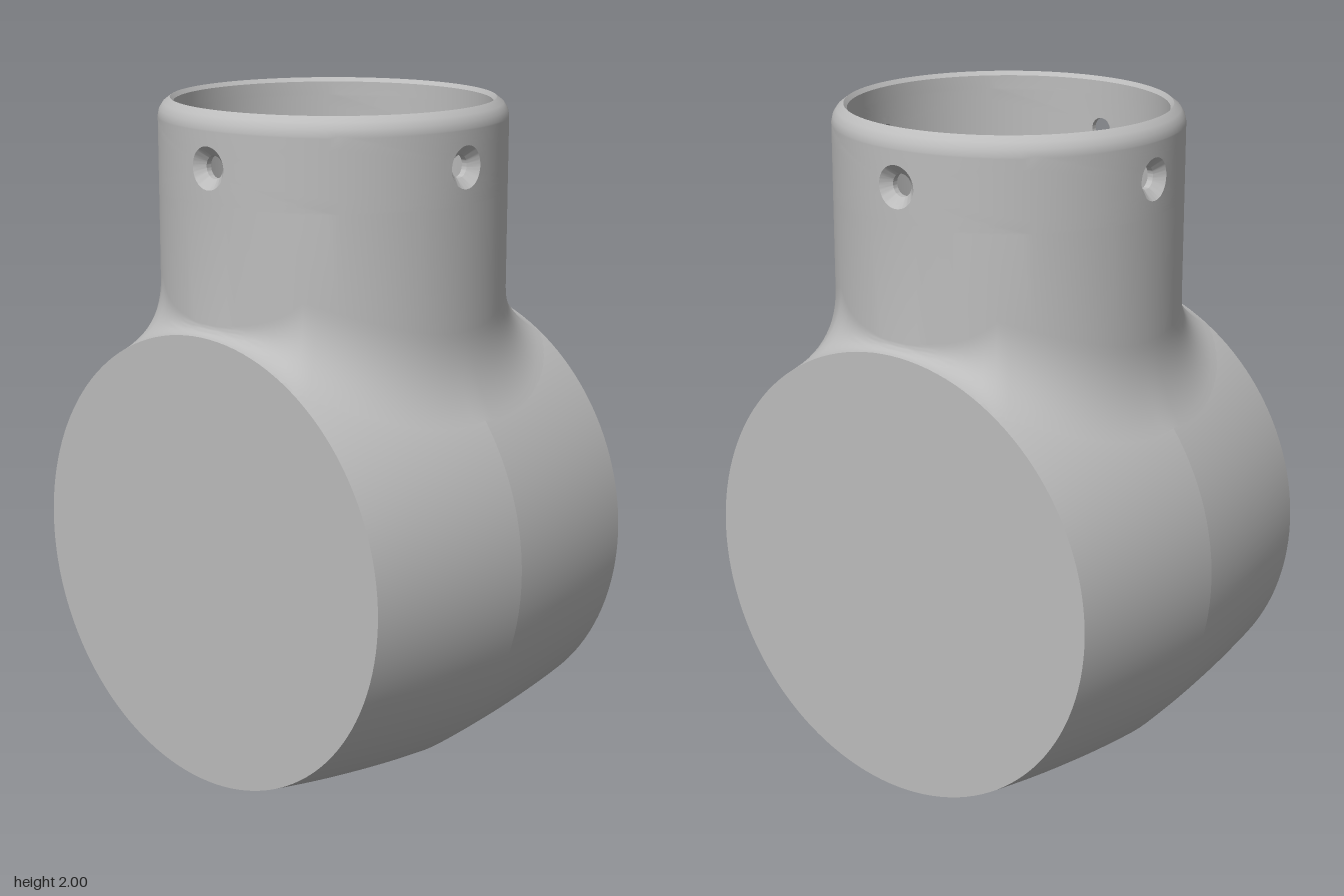
import * as THREE from 'three';
import { mergeGeometries, toCreasedNormals } from 'three/addons/utils/BufferGeometryUtils.js';

const AXIS = 0.72, HALF = 0.53;            // barrel axis height and half length
const OUT = 0.5, BORE = 0.455;             // neck radii
const LOW = 1.74, HIGH = 1.95, FLOOR = 1.46, MID = (LOW + HIGH) / 2;
const SEG = 96;

// Barrel radius along its axis, slightly peaked in the middle
function barrelRadius(x) {
  const t = Math.abs(x) / HALF;
  return 0.72 - 0.03 * t - 0.03 * t * t;
}

// Point at angle t and radius r around the neck axis
const polar = (t, r, y) => new THREE.Vector3(r * Math.sin(t), y, r * Math.cos(t));

// Height of the barrel's top at angle t and distance d from the neck axis
function barrelTop(t, d) {
  const p = polar(t, d, 0);
  return AXIS + Math.sqrt(barrelRadius(p.x) ** 2 - p.z ** 2);
}

// Grid surface: f(i, j) gives the point, front side is di x dj
function surface(f, ni, nj) {
  const pos = [], index = [], w = ni + 1;
  for (let j = 0; j <= nj; j++) {
    for (let i = 0; i <= ni; i++) pos.push(...f(i, j).toArray());
  }
  for (let j = 0; j < nj; j++) {
    for (let i = 0; i < ni; i++) {
      const a = j * w + i;
      index.push(a, a + 1, a + w, a + 1, a + w + 1, a + w);
    }
  }
  const g = new THREE.BufferGeometry();
  g.setAttribute('position', new THREE.Float32BufferAttribute(pos, 3));
  g.setIndex(index);
  return g;
}

// Surface of revolution around the neck axis from [radius, y] points
const revolve = (pts) => surface(
  (i, j) => polar(i / SEG * 2 * Math.PI, pts[j][0], pts[j][1]), SEG, pts.length - 1);

// Fillet that runs from the barrel up into the neck wall
function fillet() {
  const steps = 12;
  return surface((i, j) => {
    const t = i / SEG * 2 * Math.PI, s = Math.abs(Math.sin(t));
    const d = Math.min(HALF / Math.max(s, 0.01), 0.58 + 0.08 * s * s);
    const y2 = barrelTop(t, d);
    const slope = (y2 - barrelTop(t, d - 0.005)) / 0.005;
    const y1 = y2 - slope * (d - OUT);
    const y0 = y1 + Math.hypot(d - OUT, y2 - y1);
    if (j > steps) return polar(t, OUT, LOW);
    const k = j / steps, a = (1 - k) ** 2, b = 2 * k * (1 - k), c = k * k;
    return polar(t, a * d + (b + c) * OUT, a * y2 + b * y1 + c * y0);
  }, SEG, steps + 1);
}

// Quarter of the neck band with a countersunk screw hole through its middle
function holedQuarter(turn) {
  const across = SEG / 4, up = 6, n = 2 * (across + up);
  const edge = [];                          // rectangle outline, anticlockwise from lower right
  for (let i = 0; i < up; i++) edge.push([1, 2 * i / up - 1]);
  for (let i = 0; i < across; i++) edge.push([1 - 2 * i / across, 1]);
  for (let i = 0; i < up; i++) edge.push([-1, 1 - 2 * i / up]);
  for (let i = 0; i < across; i++) edge.push([2 * i / across - 1, -1]);

  const rings = [], steps = 12;             // [wall radius, hole radius, blend to outline]
  for (let k = 0; k <= steps; k++) rings.push([OUT, 0.06, 1 - k / steps]);
  rings.push([0.472, 0.032, 0]);
  for (let k = 0; k <= steps; k++) rings.push([BORE, 0.032, k / steps]);

  return surface((i, j) => {
    const [r, hole, mix] = rings[j], e = edge[i % n];
    const a = (i - up / 2) / n * 2 * Math.PI;
    const t = THREE.MathUtils.lerp(hole * Math.cos(a) / r, e[0] * Math.PI / 4, mix);
    const y = THREE.MathUtils.lerp(hole * Math.sin(a), e[1] * (HIGH - LOW) / 2, mix);
    return polar(turn + t, r, MID + y);
  }, n, rings.length - 1);
}

export function createModel() {
  const model = new THREE.Group();
  const grey = new THREE.MeshStandardMaterial({ color: 0xbcbcbc });
  grey.name = 'plain grey';

  function add(name, geometry) {
    const mesh = new THREE.Mesh(geometry, grey);
    mesh.name = name;
    model.add(mesh);
    return mesh;
  }

  // Barrel: two bulging halves and flat end discs
  for (const side of [-1, 1]) {
    const label = side > 0 ? 'left' : 'right';
    const profile = [];
    for (let k = 0; k <= 16; k++) {
      const x = (side > 0 ? k : k - 16) / 16 * HALF;
      profile.push(new THREE.Vector2(barrelRadius(x), x));
    }
    const half = add(label + 'BarrelHalf', new THREE.LatheGeometry(profile, 128));
    half.rotation.z = -Math.PI / 2;
    half.position.y = AXIS;

    const cap = add(label + 'EndDisc', new THREE.CircleGeometry(barrelRadius(HALF), 128));
    cap.rotation.y = side * Math.PI / 2;
    cap.position.set(side * HALF, AXIS, 0);
  }

  // Neck: fillet, holed band, rounded rim and bore
  const rim = revolve([[OUT, HIGH], [0.496, 1.968], [0.485, 1.985], [0.465, 2],
    [BORE, 1.988], [BORE, HIGH]]);
  const bore = revolve([[BORE, LOW], [BORE, FLOOR]]);
  const quarters = [0, 1, 2, 3].map((q) => holedQuarter(q * Math.PI / 2));
  add('neck', toCreasedNormals(mergeGeometries([fillet(), ...quarters, rim, bore]), 0.6));

  const floor = add('boreFloor', new THREE.CircleGeometry(BORE, SEG));
  floor.rotation.x = -Math.PI / 2;
  floor.position.y = FLOOR;

  return model;
}
